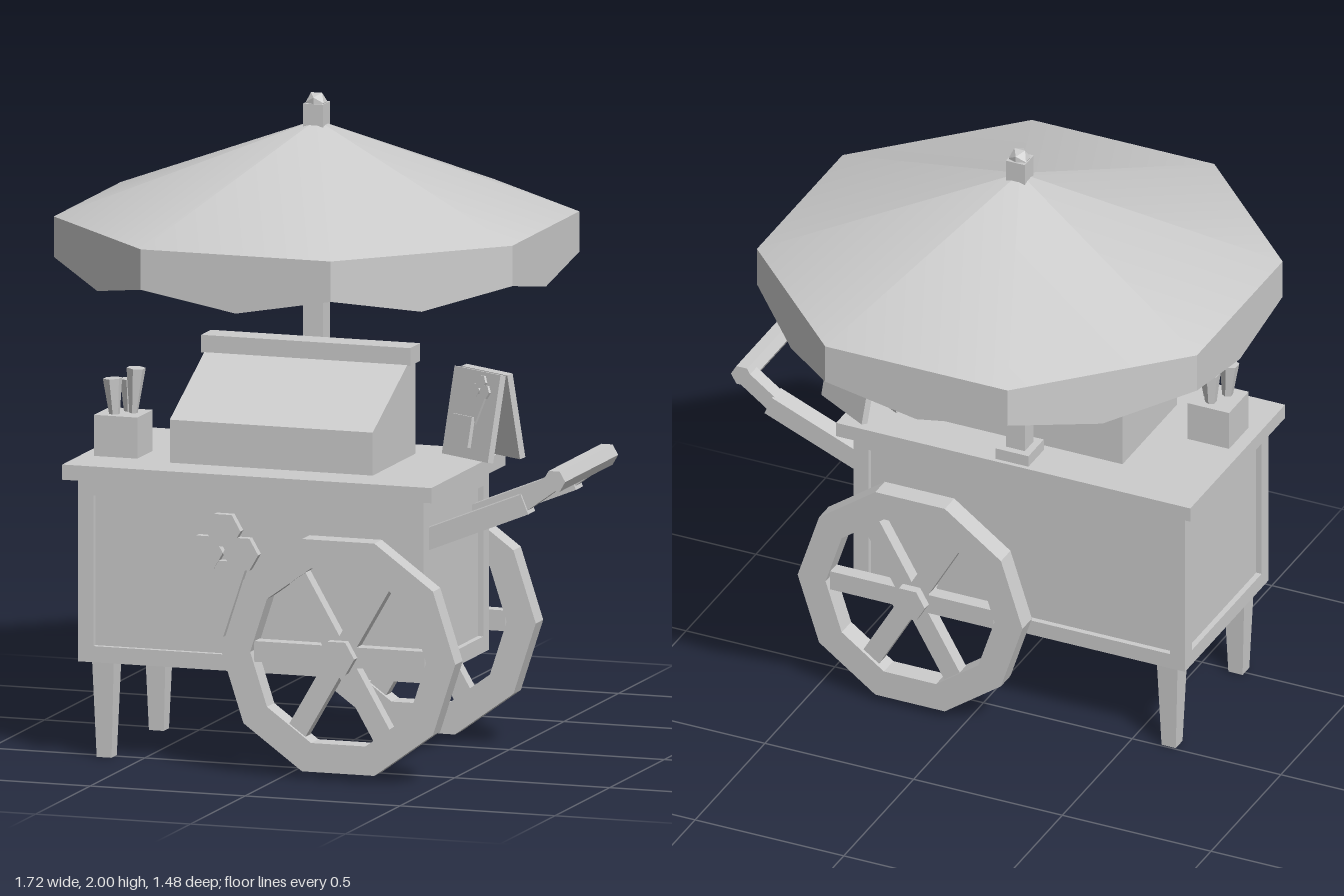
import * as THREE from 'three';

const grey = new THREE.MeshStandardMaterial({ color: 0xcccccc, side: THREE.DoubleSide });

// Faceted copy of a geometry
function flat(geo) {
  const g = geo.index ? geo.toNonIndexed() : geo;
  g.computeVertexNormals();
  return g;
}

function add(parent, name, geo, x = 0, y = 0, z = 0) {
  const m = new THREE.Mesh(geo, grey);
  m.name = name;
  m.position.set(x, y, z);
  parent.add(m);
  return m;
}

// Box given by its limits on each axis
function span(parent, name, x0, x1, y0, y1, z0, z1) {
  return add(parent, name, new THREE.BoxGeometry(x1 - x0, y1 - y0, z1 - z0),
    (x0 + x1) / 2, (y0 + y1) / 2, (z0 + z1) / 2);
}

function group(parent, name, x = 0, y = 0, z = 0) {
  const g = new THREE.Group();
  g.name = name;
  g.position.set(x, y, z);
  parent.add(g);
  return g;
}

function extrude(points, depth, holes = []) {
  const shape = new THREE.Shape(points.map(p => new THREE.Vector2(...p)));
  for (const h of holes) shape.holes.push(new THREE.Path(h.map(p => new THREE.Vector2(...p))));
  return new THREE.ExtrudeGeometry(shape, { depth, bevelEnabled: false });
}

function polygon(n, r, start = 0) {
  return Array.from({ length: n }, (_, i) => {
    const a = start + i * 2 * Math.PI / n;
    return [r * Math.cos(a), r * Math.sin(a)];
  });
}

// Ice cream relief: three faceted scoops over a pointed cone
function iceCream(parent, name, x, y, z, s, depth) {
  const g = group(parent, name, x, y, z);
  g.scale.set(s, s, 1);
  for (const [sx, sy] of [[0, 0.115], [-0.057, 0.045], [0.057, 0.045]])
    add(g, 'scoop', extrude(polygon(6, 0.057), depth), sx, sy, 0);
  add(g, 'cone', extrude([[-0.072, 0], [0, -0.215], [0.072, 0], [0.03, 0.02], [-0.03, 0.02]], depth * 0.9));
}

function wheel(parent, name, z) {
  const g = group(parent, name, 0.185, 0.383, z);
  add(g, 'rim', extrude(polygon(10, 0.378), 0.068, [polygon(10, 0.284)]), 0, 0, -0.034);
  for (let i = 0; i < 3; i++) {
    const s = add(g, 'spoke', new THREE.BoxGeometry(0.55, 0.064, 0.045));
    s.rotation.z = i * Math.PI / 3;
  }
  add(g, 'hub', extrude(polygon(6, 0.058), 0.104), 0, 0, -0.052);
}

// Square bar between two points in the xy plane
function bar(parent, name, a, b, thick, width, z) {
  const dx = b[0] - a[0], dy = b[1] - a[1];
  const m = add(parent, name, new THREE.BoxGeometry(Math.hypot(dx, dy), thick, width),
    (a[0] + b[0]) / 2, (a[1] + b[1]) / 2, z);
  m.rotation.z = Math.atan2(dy, dx);
}

export function createModel() {
  const root = new THREE.Group();
  root.name = 'iceCreamCart';

  // Cart body: recessed core with raised frames
  const body = group(root, 'body');
  const X0 = -0.69, X1 = 0.425, Y0 = 0.3, Y1 = 0.866, Z0 = -0.026, Z1 = 0.572, t = 0.05, d = 0.018;
  span(body, 'core', X0 + d, X1 - d, Y0 + d, Y1, Z0 + d, Z1 - d);
  for (const x of [X0, X1 - t])
    for (const z of [Z0, Z1 - t]) span(body, 'cornerPost', x, x + t, Y0, Y1, z, z + t);
  for (const y of [Y0, Y1 - t]) {
    for (const z of [Z0, Z1 - t]) span(body, 'longRail', X0 + t, X1 - t, y, y + t, z, z + t);
    for (const x of [X0, X1 - t]) span(body, 'endRail', x, x + t, y, y + t, Z0 + t, Z1 - t);
  }
  span(root, 'counter', -0.728, 0.463, 0.866, 0.913, -0.069, 0.609);
  iceCream(root, 'frontEmblem', -0.22, 0.62, Z1 - d, 1, 0.026);

  // Tapered legs
  for (const z of [0.03, 0.508]) {
    const leg = flat(new THREE.CylinderGeometry(0.035 * Math.SQRT2, 0.024 * Math.SQRT2, 0.3, 4).rotateY(Math.PI / 4));
    add(root, 'leg', leg, -0.62, 0.15, z);
  }

  // Wheels and axle
  wheel(root, 'frontWheel', 0.639);
  wheel(root, 'backWheel', -0.098);
  add(root, 'axle', extrude(polygon(6, 0.035), 0.73), 0.185, 0.383, -0.095);

  // Push handle
  const handle = group(root, 'handle');
  for (const z of [0.045, 0.482]) {
    bar(handle, 'lowerArm', [0.40, 0.728], [0.73, 0.862], 0.065, 0.065, z);
    bar(handle, 'upperArm', [0.715, 0.86], [0.825, 0.94], 0.054, 0.048, z);
  }
  add(handle, 'grip', extrude(polygon(6, 0.036), 0.485), 0.823, 0.938, 0.021);

  // Sloped display case with top ledge
  const profile = [[0.08, 0.913], [0.47, 0.913], [0.47, 1.046], [0.154, 1.2], [0.08, 1.2]];
  add(root, 'displayCase', extrude(profile, 0.655).rotateY(-Math.PI / 2), 0.225, 0, 0);
  span(root, 'caseLedge', -0.44, 0.235, 1.198, 1.253, 0.064, 0.154);

  // Box of wafer cones
  const cones = group(root, 'coneBox');
  span(cones, 'holder', -0.685, -0.545, 0.913, 1.04, 0.3, 0.44);
  for (const [x, top, z, tilt] of [[-0.635, 1.15, 0.4, 0.06], [-0.58, 1.18, 0.365, -0.06], [-0.605, 1.14, 0.34, 0]]) {
    const c = add(cones, 'waferCone', flat(new THREE.CylinderGeometry(0.03, 0.012, 0.15, 6)), x, top - 0.075, z);
    c.rotation.z = tilt;
  }

  // Folding menu board
  const menu = group(root, 'menuBoard', 0.44, 1.18, 0.065);
  menu.rotation.y = -Math.PI / 6;
  for (const s of [1, -1]) {
    const leaf = group(menu, s > 0 ? 'frontLeaf' : 'backLeaf', 0, 0, s * 0.014);
    leaf.rotation.x = -s * 0.19;
    add(leaf, 'board', new THREE.BoxGeometry(0.215, 0.27, 0.022), 0, -0.133, 0);
    if (s > 0) {
      span(leaf, 'notice', -0.075, 0.02, -0.235, -0.14, 0.011, 0.024);
      iceCream(leaf, 'menuPicture', 0.03, -0.075, 0.011, 0.4, 0.008);
    }
  }

  // Parasol
  const parasol = group(root, 'parasol', -0.122, 0, 0);
  span(parasol, 'poleBase', -0.055, 0.055, 0.913, 0.95, -0.055, 0.055);
  span(parasol, 'pole', -0.032, 0.032, 0.93, 1.965, -0.032, 0.032);
  add(parasol, 'finial', flat(new THREE.IcosahedronGeometry(0.034, 0)), 0, 1.967, 0);
  const apothem = 0.74, half = apothem * Math.tan(Math.PI / 8);
  const canopy = new THREE.ConeGeometry(apothem / Math.cos(Math.PI / 8), 0.292, 8, 1, true);
  add(parasol, 'canopy', canopy.rotateY(Math.PI / 8), 0, 1.766, 0);
  // Pointed valance panels, one on each side
  const panel = extrude([[-half, 1.62], [-half, 1.495], [0, 1.44], [half, 1.495], [half, 1.62]], 0.01);
  for (let i = 0; i < 8; i++) {
    const side = group(parasol, 'valanceSide');
    side.rotation.y = i * Math.PI / 4;
    add(side, 'valance', panel, 0, 0, apothem - 0.01);
  }
  return root;
}
